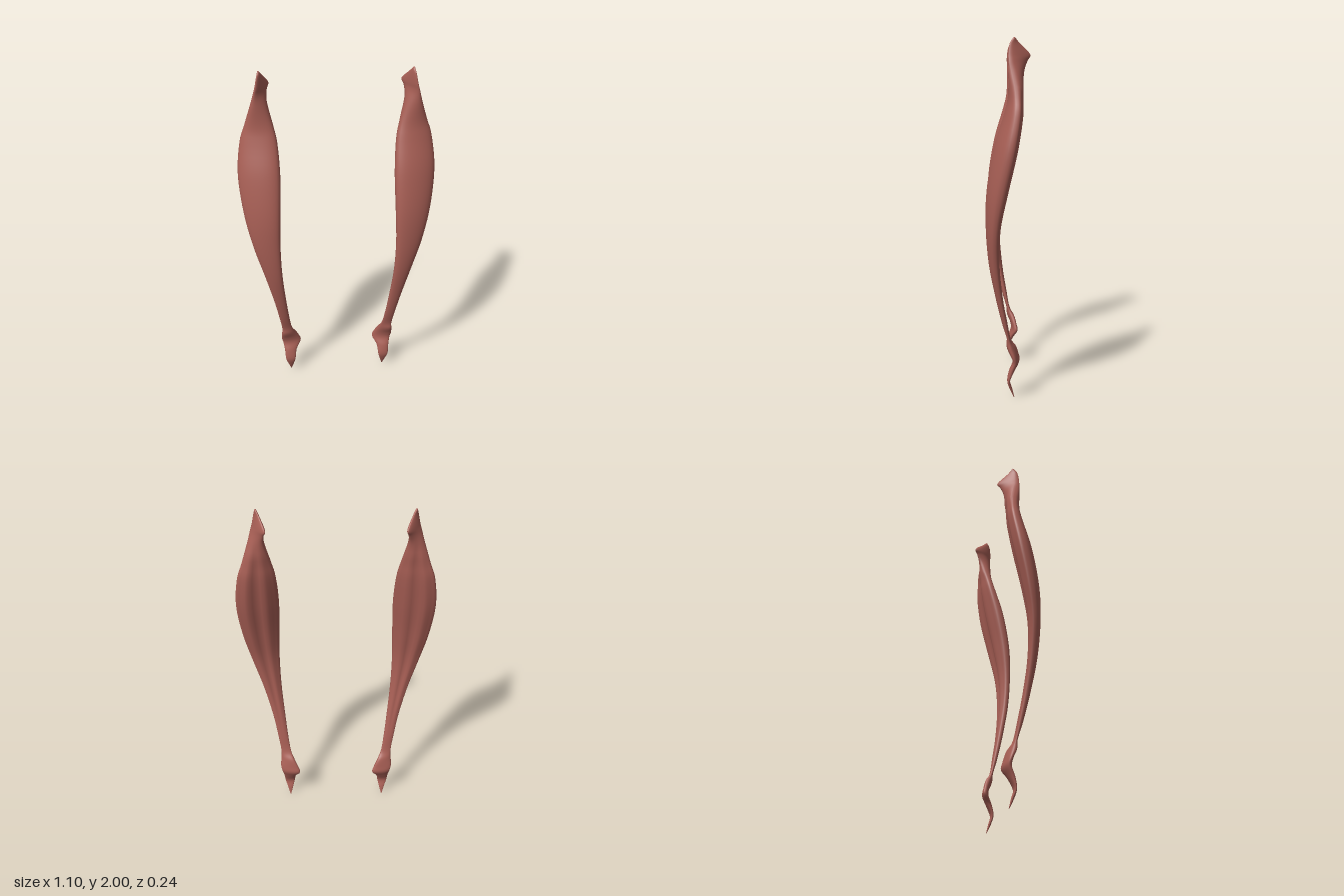
import * as THREE from 'three';

// Stations from top tendon to lower tip:
// y, inner x, outer x, front z, back z, skew (how far the outer edge leans forward)
const STATIONS = [
  [2.0, 0.407, 0.415, -0.027, -0.035, 0],
  [1.97, 0.39, 0.423, -0.008, -0.06, 1.2],
  [1.915, 0.36, 0.435, 0, -0.115, 1.6],
  [1.88, 0.37, 0.445, 0, -0.1, 1.2],
  [1.82, 0.372, 0.462, 0, -0.082, 0.4],
  [1.7, 0.345, 0.5, 0.002, -0.078, -0.2],
  [1.6, 0.326, 0.532, 0.025, -0.077, -0.4],
  [1.42, 0.318, 0.552, 0.078, -0.05, -0.45],
  [1.2, 0.326, 0.532, 0.115, 0, -0.45],
  [1.0, 0.334, 0.49, 0.12, 0.04, -0.4],
  [0.8, 0.33, 0.435, 0.105, 0.046, -0.3],
  [0.6, 0.314, 0.387, 0.068, 0.028, -0.1],
  [0.45, 0.299, 0.36, 0.033, 0.003, 0],
  [0.35, 0.284, 0.345, 0.004, -0.016, 0.2],
  [0.3, 0.263, 0.347, 0, -0.045, 0.5],
  [0.25, 0.24, 0.35, -0.02, -0.06, 0.5],
  [0.21, 0.23, 0.342, -0.025, -0.066, 0.4],
  [0.16, 0.258, 0.333, -0.006, -0.04, 0.2],
  [0.1, 0.268, 0.328, 0.004, -0.013, 0],
  [0.05, 0.28, 0.313, -0.01, -0.025, 0],
  [0.0, 0.294, 0.298, -0.033, -0.037, 0],
];
const SIDES = 32;
const RINGS = 100;

// Full rounded front, flatter back with shallow grooves
function outline(skew, groove) {
  const pts = [];
  for (let j = 0; j < SIDES; j++) {
    const a = (j / SIDES) * Math.PI * 2;
    const u = Math.cos(a);
    const s = Math.sin(a);
    let v = s > 0 ? Math.pow(s, 0.8) : -0.8 * Math.pow(-s, 0.75);
    if (s < 0) v += groove * s * s * Math.cos(u * 7);
    pts.push([u, v + skew * u]);
  }
  return pts;
}

function muscleGeometry(side) {
  const xs = new THREE.CatmullRomCurve3(
    STATIONS.map((s) => new THREE.Vector3(s[1], s[0], s[2])), false, 'catmullrom', 0.5);
  const zs = new THREE.CatmullRomCurve3(
    STATIONS.map((s) => new THREE.Vector3(s[3], s[4], s[5])), false, 'catmullrom', 0.5);
  const positions = [];
  const index = [];
  for (let i = 0; i <= RINGS; i++) {
    const px = xs.getPoint(i / RINGS);
    const pz = zs.getPoint(i / RINGS);
    const belly = THREE.MathUtils.smoothstep(px.y, 0.4, 0.9) *
      (1 - THREE.MathUtils.smoothstep(px.y, 1.6, 1.85));
    const ring = outline(pz.z, 0.18 * belly);
    // Fit the section to the station's width and depth
    const vs = ring.map((p) => p[1]);
    const lo = Math.min(...vs);
    const hi = Math.max(...vs);
    for (const [u, v] of ring) {
      positions.push(
        side * THREE.MathUtils.lerp(px.x, px.z, (u + 1) / 2),
        px.y,
        THREE.MathUtils.lerp(pz.y, pz.x, (v - lo) / (hi - lo)));
    }
  }
  const tri = (a, b, c) => (side > 0 ? index.push(a, b, c) : index.push(a, c, b));
  for (let i = 0; i < RINGS; i++) {
    for (let j = 0; j < SIDES; j++) {
      const k = (j + 1) % SIDES;
      const a = i * SIDES;
      const b = a + SIDES;
      tri(a + j, a + k, b + j);
      tri(a + k, b + k, b + j);
    }
  }
  // End caps
  const last = RINGS * SIDES;
  for (let j = 1; j < SIDES - 1; j++) {
    tri(0, j + 1, j);
    tri(last, last + j, last + j + 1);
  }
  const geometry = new THREE.BufferGeometry();
  geometry.setAttribute('position', new THREE.Float32BufferAttribute(positions, 3));
  geometry.setIndex(index);
  geometry.computeVertexNormals();
  return geometry;
}

export function createModel() {
  const group = new THREE.Group();
  group.name = 'thighMuscles';
  const material = new THREE.MeshStandardMaterial({ color: 0xa85f55 });
  for (const [name, side] of [['leftThighMuscle', 1], ['rightThighMuscle', -1]]) {
    const mesh = new THREE.Mesh(muscleGeometry(side), material);
    mesh.name = name;
    group.add(mesh);
  }
  return group;
}
